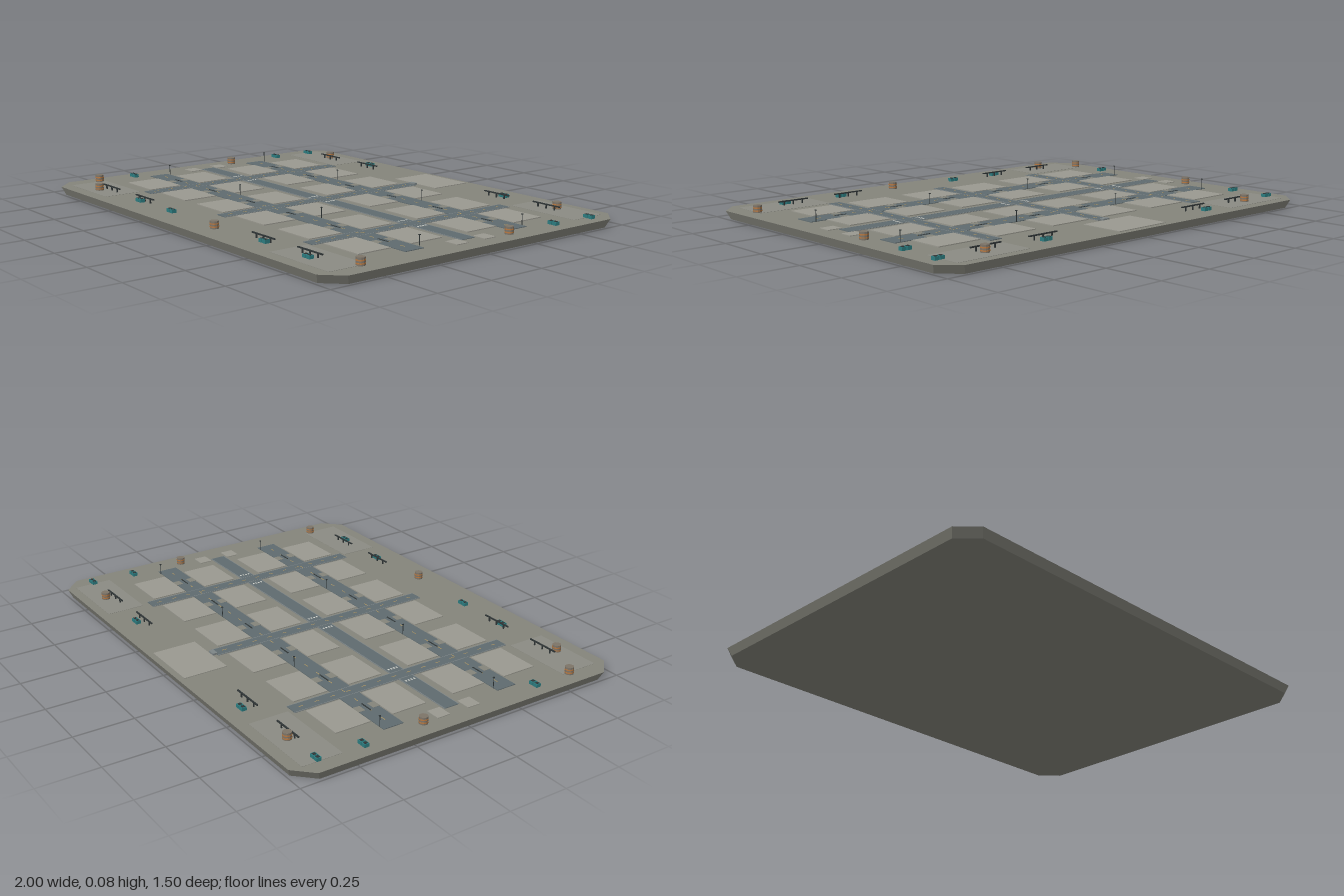
import * as THREE from 'three';

const TOP = 0.035; // height of the deck surface

const paint = (color) => new THREE.MeshStandardMaterial({ color, flatShading: true });
const M = {
  deck: paint(0x84847b), yard: paint(0x8b8b83), pad: paint(0x9a9990), road: paint(0x5f6b6f),
  kerb: paint(0x7d8587), dash: paint(0xb59a62), white: paint(0xd0d2cc), dark: paint(0x2f3536),
  teal: paint(0x2c7c80), drum: paint(0x7d7468), orange: paint(0xb87840),
};

export function createModel() {
  const root = new THREE.Group();

  const group = (name, parent = root) => {
    const g = new THREE.Group();
    g.name = name;
    parent.add(g);
    return g;
  };
  // box given by its centre (x, z), its size and the height of its underside
  const box = (parent, name, mat, x, z, w, h, d, y = TOP) => {
    const m = new THREE.Mesh(new THREE.BoxGeometry(w, h, d), mat);
    m.name = name;
    m.position.set(x, y + h / 2, z);
    parent.add(m);
    return m;
  };
  const cyl = (parent, name, mat, x, z, r, h, y, sides = 12) => {
    const m = new THREE.Mesh(new THREE.CylinderGeometry(r, r, h, sides), mat);
    m.name = name;
    m.position.set(x, y + h / 2, z);
    parent.add(m);
    return m;
  };

  // Deck: chamfered slab, slightly narrower underneath
  const c = 0.075, X = 1, Z = 0.75;
  const outline = new THREE.Shape([
    [X, -Z + c], [X, Z - c], [X - c, Z], [-X + c, Z],
    [-X, Z - c], [-X, -Z + c], [-X + c, -Z], [X - c, -Z],
  ].map(([x, y]) => new THREE.Vector2(x, y)));
  const slab = new THREE.ExtrudeGeometry(outline, { depth: TOP, bevelEnabled: false });
  slab.rotateX(-Math.PI / 2);
  const p = slab.attributes.position;
  for (let i = 0; i < p.count; i++) {
    if (p.getY(i) < TOP / 2) {
      p.setX(i, p.getX(i) - Math.sign(p.getX(i)) * 0.015);
      p.setZ(i, p.getZ(i) - Math.sign(p.getZ(i)) * 0.015);
    }
  }
  slab.computeVertexNormals();
  const deck = new THREE.Mesh(slab, M.deck);
  deck.name = 'deck';
  root.add(deck);

  // Corner yards, plaza and small side pads
  const yards = group('yards');
  [[-0.756, -0.615, 0.358, 0.17], [0.754, -0.628, 0.342, 0.165],
    [-0.77, 0.613, 0.31, 0.17], [0.754, 0.613, 0.342, 0.17]]
    .forEach(([x, z, w, d]) => box(yards, 'cornerYard', M.yard, x, z, w, 0.001, d));
  box(yards, 'plaza', M.pad, 0, -0.63, 0.266, 0.003, 0.19);
  for (const x of [-0.897, 0.897]) for (const z of [-0.072, 0.072])
    box(yards, 'sidePad', M.pad, x, z, 0.064, 0.003, 0.058);
  box(yards, 'gateBlock', M.kerb, 0, -0.522, 0.035, 0.008, 0.02);

  // Building pads
  const padX = [-0.713, -0.43, -0.142, 0.142, 0.43, 0.713];
  const pads = group('buildingPads');
  for (const x of padX) for (const z of [-0.398, -0.143, 0.143, 0.398])
    box(pads, 'buildingPad', M.pad, x, z, 0.198, 0.004, 0.155);

  // Roads with kerb lines
  const roads = group('roads');
  const crossX = [-0.573, 0, 0.573], sideZ = [-0.27, 0.27];
  box(roads, 'mainRoad', M.road, 0, 0, 1.77, 0.002, 0.064);
  for (const s of [-1, 1]) box(roads, 'mainKerb', M.kerb, 0, s * 0.033, 1.77, 0.0026, 0.003);
  for (const x of crossX) {
    box(roads, 'crossRoad', M.road, x, 0, 0.054, 0.0028, 1.03);
    for (const s of [-1, 1]) box(roads, 'crossKerb', M.kerb, x + s * 0.028, 0, 0.003, 0.0029, 1.03);
    for (let i = 0; i < 14; i++) {
      const z = -0.47 + i * 0.0723;
      box(roads, 'laneDash', M.dash, x, z, 0.003, 0.0035, 0.02);
    }
  }
  for (const z of sideZ) {
    box(roads, 'sideRoad', M.road, 0, z, 1.77, 0.0024, 0.068);
    // wider bays between driveways
    const ends = [-0.885, ...padX, 0.885];
    for (let i = 0; i < 7; i++) {
      const a = ends[i] + (i ? 0.02 : 0), b = ends[i + 1] - (i < 6 ? 0.02 : 0);
      box(roads, 'parkingBay', M.road, (a + b) / 2, z, b - a, 0.0026, 0.09);
    }
    for (const x of padX) {
      for (const s of [-1, 1]) box(roads, 'driveway', M.deck, x, z + s * 0.034, 0.04, 0.0032, 0.032);
      box(roads, 'roadMark', M.dark, x, z, 0.06, 0.0036, 0.006);
    }
    for (let i = 0; i < 20; i++)
      box(roads, 'laneDash', M.dash, -0.82 + i * 0.0863, z, 0.024, 0.0034, 0.003);
  }

  // Crosswalk stripes on the main road
  const walks = group('crosswalks');
  for (const x of crossX) for (const s of [-1, 1]) for (let i = 0; i < 4; i++)
    box(walks, 'stripe', M.white, x + s * 0.057, -0.02 + i * 0.0133, 0.01, 0.0034, 0.006);

  // Street lamps
  const lamps = group('streetLamps');
  for (const x of [-0.86, -0.285, 0.285, 0.86]) for (const z of [-0.315, 0.225]) {
    const lamp = group('streetLamp', lamps);
    cyl(lamp, 'lampPole', M.dark, x, z, 0.0015, 0.046, TOP, 6);
    box(lamp, 'lampHead', M.dark, x, z, 0.006, 0.003, 0.007, TOP + 0.045);
  }

  // Barriers along the front and back edges
  const barriers = group('barriers');
  for (const x of [-0.713, -0.43, 0.43, 0.713]) for (const z of [-0.616, 0.613]) {
    const barrier = group('barrier', barriers);
    box(barrier, 'rail', M.dark, x, z, 0.145, 0.005, 0.006, 0.051);
    for (const dx of [-0.045, 0, 0.045]) box(barrier, 'post', M.dark, x + dx, z, 0.005, 0.018, 0.005);
  }

  // Drums with orange bands
  const drums = group('drums');
  [[-0.745, -0.64], [0.743, -0.648], [-0.925, -0.165], [0.922, -0.178],
    [-0.93, 0.555], [0.922, 0.555], [-0.757, 0.65], [0.157, 0.65]].forEach(([x, z]) => {
    const drum = group('drum', drums);
    cyl(drum, 'drumBody', M.drum, x, z, 0.018, 0.031, TOP);
    for (const y of [0.041, 0.053]) cyl(drum, 'drumBand', M.orange, x, z, 0.0186, 0.005, y);
  });

  // Paired crates
  const crates = group('cratePairs');
  [[-0.915, -0.63], [-0.462, -0.662], [0.443, -0.647], [0.935, -0.622], [-0.93, -0.437], [0.923, -0.425],
    [-0.93, 0.375], [-0.44, 0.63], [-0.186, 0.632], [0.457, 0.63], [0.735, 0.64]].forEach(([x, z]) => {
    const pair = group('cratePair', crates);
    for (const s of [-1, 1]) {
      box(pair, 'crate', M.teal, x + s * 0.0115, z, 0.02, 0.014, 0.021);
      box(pair, 'crateLid', M.dark, x + s * 0.0115, z, 0.013, 0.0155, 0.013);
    }
  });

  return root;
}
